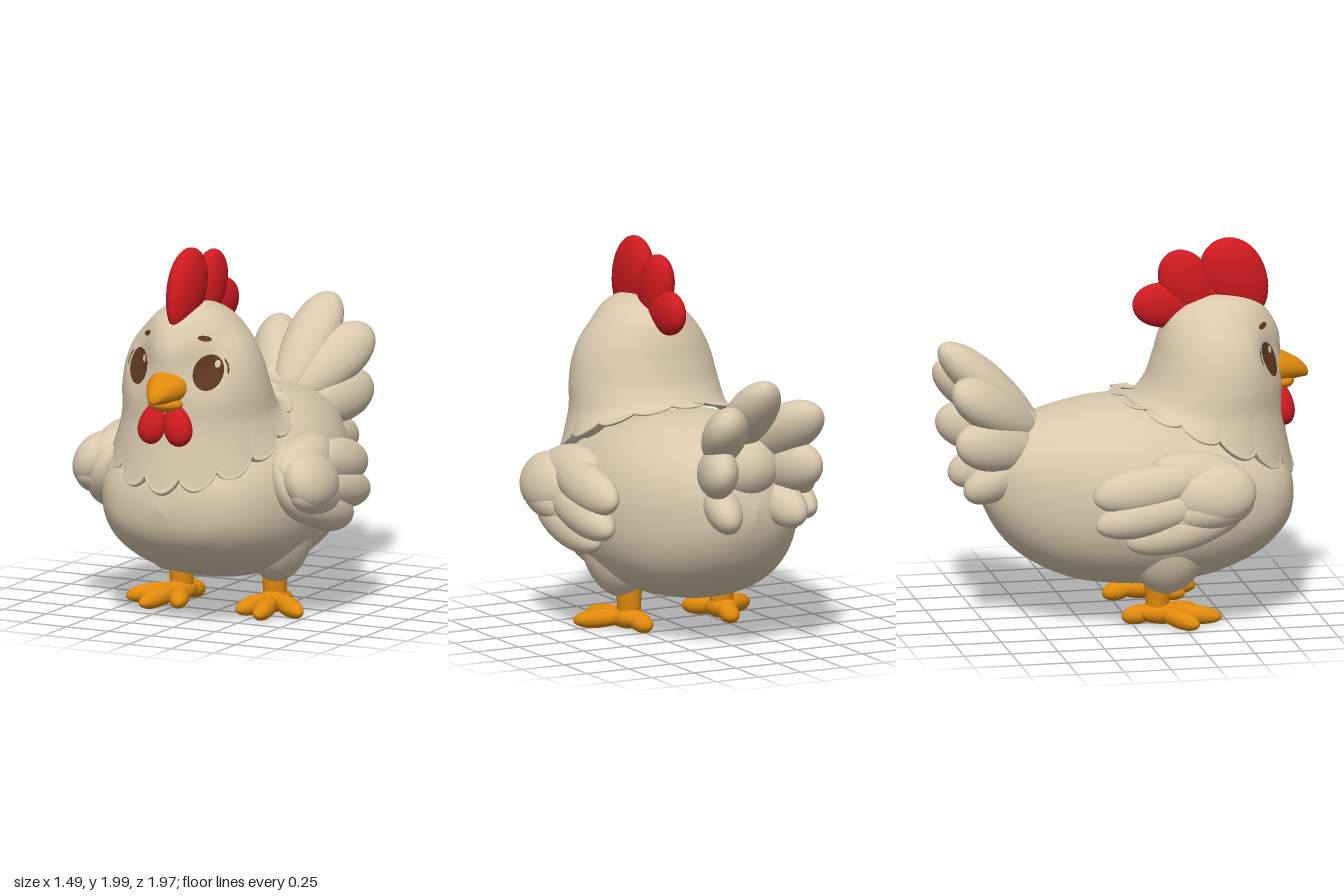
import * as THREE from 'three';
import { mergeVertices } from 'three/addons/utils/BufferGeometryUtils.js';

const material = (name, color) => Object.assign(new THREE.MeshStandardMaterial({ color }), { name });
const V = (x, y, z) => new THREE.Vector3(x, y, z);

// Catmull-Rom through rows of numbers, t from 0 to 1
function sample(rows, t) {
  const n = rows.length - 1, f = Math.min(t, 1) * n, i = Math.min(Math.floor(f), n - 1), u = f - i;
  const row = (k) => rows[Math.max(0, Math.min(n, k))];
  return rows[0].map((_, c) => {
    const [p, a, b, q] = [row(i - 1)[c], row(i)[c], row(i + 1)[c], row(i + 2)[c]];
    return a + 0.5 * u * (b - p + u * (2 * p - 5 * a + 4 * b - q + u * (3 * (a - b) + q - p)));
  });
}

// Closed-ring surface: fn(v, angle) gives a point, rings run along v
function loft(nv, nu, fn) {
  const pos = [], idx = [];
  for (let j = 0; j <= nv; j++)
    for (let i = 0; i < nu; i++) pos.push(...fn(j / nv, (i / nu) * Math.PI * 2));
  for (let j = 0; j < nv; j++)
    for (let i = 0; i < nu; i++) {
      const a = j * nu + i, b = j * nu + ((i + 1) % nu);
      idx.push(a, a + nu, b, b, a + nu, b + nu);
    }
  const g = new THREE.BufferGeometry();
  g.setAttribute('position', new THREE.Float32BufferAttribute(pos, 3));
  g.setIndex(idx);
  g.computeVertexNormals();
  return g;
}

// Superellipse rings along z; rows: z, top, bottom, half width
const power = (v, n) => Math.sign(v) * Math.abs(v) ** (2 / n);
const hull = (rows, n) => loft(60, 64, (v, a) => {
  const [z, top, bottom, w] = sample(rows, v);
  return [Math.max(w, 0) * power(Math.sin(a), n), (top + bottom) / 2 + (top - bottom) / 2 * power(Math.cos(a), n), z];
});

// Egg-shaped lobe from a to b; w and t are half width and half thickness, t lies along normal
function lobe(a, b, w, t, normal, taper = 0) {
  let g = new THREE.SphereGeometry(1, 28, 20);
  g.deleteAttribute('uv');
  g.deleteAttribute('normal');
  g = mergeVertices(g, 1e-4);
  const p = g.attributes.position;
  for (let i = 0; i < p.count; i++) {
    const k = 1 + taper * p.getY(i);
    p.setXYZ(i, p.getX(i) * w * k, p.getY(i) * a.distanceTo(b) / 2, p.getZ(i) * t * k);
  }
  const y = b.clone().sub(a).normalize();
  const x = y.clone().cross(normal).normalize();
  const z = x.clone().cross(y);
  g.applyMatrix4(new THREE.Matrix4().makeBasis(x, y, z).setPosition(a.clone().add(b).multiplyScalar(0.5)));
  g.computeVertexNormals();
  return g;
}

// Head and collar rings: y, tilt toward front, half width, centre z, half depth
const HEAD = [
  [1.72, 0, 0, 0.52, 0], [1.705, 0, 0.09, 0.52, 0.11], [1.665, 0, 0.175, 0.515, 0.2],
  [1.6, 0, 0.245, 0.51, 0.27], [1.5, 0, 0.325, 0.515, 0.318], [1.39, 0, 0.372, 0.505, 0.338],
  [1.26, 0, 0.398, 0.483, 0.362], [1.13, -0.05, 0.412, 0.445, 0.402], [1.02, -0.2, 0.45, 0.43, 0.465],
];
const socket = (x, y) => 0.065 * Math.exp(-(((Math.abs(x) - 0.2) / 0.11) ** 2) - ((y - 1.45) / 0.15) ** 2);
function headPoint(t, a) {
  const [y, tilt, rx, zc, rz] = sample(HEAD, t);
  const c = Math.cos(a), x = Math.max(rx, 0) * Math.sin(a), py = y + tilt * c;
  return [x, py, zc + Math.max(rz, 0) * c - (c > 0 ? socket(x, py) * Math.min(1, 3 * c) : 0)];
}
function faceZ(x, y) {
  let lo = 0, hi = 0.8;
  for (let i = 0; i < 30; i++) {
    const mid = (lo + hi) / 2;
    if (sample(HEAD, mid)[0] > y) lo = mid; else hi = mid;
  }
  const [, , rx, zc, rz] = sample(HEAD, lo);
  const c = Math.sqrt(Math.max(0, 1 - (x / rx) ** 2));
  return zc + rz * c - socket(x, y) * Math.min(1, 3 * c);
}

// Thin oval following the face
function decal(cx, cy, rx, ry, turn, lift) {
  const g = new THREE.RingGeometry(0.001, 1, 32, 5), p = g.attributes.position;
  for (let i = 0; i < p.count; i++) {
    const u = p.getX(i) * rx, v = p.getY(i) * ry;
    const x = cx + u * Math.cos(turn) - v * Math.sin(turn), y = cy + u * Math.sin(turn) + v * Math.cos(turn);
    p.setXYZ(i, x, y, faceZ(x, y) + lift);
  }
  g.computeVertexNormals();
  return g;
}

export function createModel() {
  const root = new THREE.Group();
  root.name = 'hen';
  const cream = material('cream feathers', 0xd9c8ad), red = material('comb red', 0xd01b20);
  const orange = material('beak orange', 0xe08a0c), brown = material('eye brown', 0x5e3822);
  const add = (name, geometry, mat) => {
    const m = new THREE.Mesh(geometry, mat);
    m.name = name;
    root.add(m);
  };

  // Body
  add('body', hull([
    [-0.77, 0.78, 0.74, 0], [-0.73, 0.92, 0.6, 0.17], [-0.64, 1.04, 0.45, 0.29], [-0.5, 1.1, 0.33, 0.385],
    [-0.3, 1.15, 0.24, 0.485], [-0.1, 1.18, 0.205, 0.54], [0.12, 1.17, 0.195, 0.56], [0.4, 1.1, 0.225, 0.545],
    [0.65, 1.01, 0.315, 0.47], [0.8, 0.91, 0.43, 0.36], [0.87, 0.8, 0.53, 0.21], [0.9, 0.67, 0.65, 0],
  ], 2.25), cream);

  // Head flowing into a scalloped collar with a rolled lip
  add('headAndCollar', loft(110, 196, (v, a) => {
    const t = Math.min(v / 0.85, 1), lip = Math.max(0, (v - 0.85) / 0.15);
    const [x, y, z] = headPoint(t, a);
    const flare = Math.max(0, (t - 0.84) / 0.16) ** 1.5 * (Math.abs(Math.cos(7 * a)) ** 0.7 - 0.35);
    const front = 0.5 + 0.5 * Math.cos(a);
    const s = 1 + flare * 0.1 * (1 - 0.7 * front) + 0.035 * Math.sin(lip * Math.PI) - 0.2 * lip * lip;
    const drop = flare * (0.01 + 0.065 * front) + (0.02 + 0.02 * front) * Math.sin(lip * Math.PI / 2);
    return [x * s, y - drop, 0.43 + (z - 0.43) * s];
  }), cream);

  // Comb
  const side = V(1, 0, 0);
  add('combBase', lobe(V(0, 1.66, 0.74), V(0, 1.66, 0.2), 0.17, 0.05, side), red);
  add('combFront', lobe(V(0, 1.59, 0.72), V(0, 1.985, 0.49), 0.165, 0.08, side, 0.12), red);
  add('combMiddle', lobe(V(0, 1.58, 0.44), V(0, 1.94, 0.255), 0.135, 0.075, side, 0.1), red);
  add('combBack', lobe(V(0, 1.64, 0.42), V(0, 1.675, 0.055), 0.12, 0.068, side, 0.1), red);

  // Beak
  add('upperBeak', hull([
    [0.76, 1.4, 1.21, 0.115], [0.82, 1.395, 1.215, 0.113], [0.88, 1.37, 1.225, 0.09],
    [0.94, 1.335, 1.235, 0.058], [0.98, 1.295, 1.24, 0.028], [0.993, 1.262, 1.255, 0],
  ], 2), orange);
  add('lowerBeak', lobe(V(0, 1.225, 0.74), V(0, 1.225, 0.915), 0.1, 0.045, V(0, 1, 0)), orange);

  for (const s of [-1, 1]) {
    const tag = s > 0 ? 'left' : 'right';
    const part = (name, a, b, w, t, n, mat, taper) =>
      add(tag + name, lobe(V(s * a[0], a[1], a[2]), V(s * b[0], b[1], b[2]), w, t, V(s * n[0], n[1], n[2]), taper), mat);

    // Face details
    add(tag + 'Eye', decal(s * 0.205, 1.39, 0.07, 0.092, 0, 0.006), brown);
    add(tag + 'EyeGlint', decal(s * 0.205 + 0.036, 1.435, 0.014, 0.02, 0, 0.009), cream);
    add(tag + 'Brow', decal(s * 0.168, 1.563, 0.03, 0.013, -s * 0.3, 0.005), brown);
    for (const [x, y, turn] of [[0.28, 1.44, -1], [0.292, 1.405, -1.4]])
      add(tag + 'Lash', decal(s * x, y, 0.024, 0.004, s * turn, 0.005), brown);

    // Wattle
    part('Wattle', [0.04, 1.23, 0.82], [0.1, 1.005, 0.852], 0.077, 0.062, [0, 0, 1], red, 0.2);

    // Wing: long feathers beneath, rounded coverts above
    const out = [1, 0.3, 0];
    part('WingBase', [0.54, 0.78, 0.57], [0.52, 0.72, -0.12], 0.24, 0.14, [1, 0.45, 0], cream, -0.1);
    part('WingFeather', [0.6, 0.87, 0.3], [0.58, 0.78, -0.275], 0.12, 0.095, out, cream, 0.08);
    part('WingFeather', [0.61, 0.75, 0.35], [0.6, 0.63, -0.265], 0.11, 0.1, out, cream, 0.08);
    part('WingFeather', [0.61, 0.67, 0.49], [0.585, 0.53, -0.1], 0.115, 0.1, out, cream, 0.05);
    part('WingCovert', [0.55, 0.83, 0.55], [0.52, 0.91, 0.04], 0.13, 0.115, [1, 0.8, 0], cream);
    part('WingCovert', [0.62, 0.8, 0.585], [0.61, 0.77, 0.14], 0.16, 0.12, [1, 0.45, 0], cream, -0.12);
    part('WingCovert', [0.63, 0.74, 0.57], [0.63, 0.67, 0.14], 0.105, 0.1, [1, 0.1, 0], cream, -0.05);

    // Tail fan sides
    part('TailFeather', [0.06, 1.02, -0.47], [0.27, 1.33, -0.95], 0.135, 0.11, [0.7, 0.7, 0.3], cream, 0.2);
    part('TailFeather', [0.13, 0.95, -0.47], [0.28, 1.04, -0.94], 0.135, 0.1, [1, 0.1, 0.3], cream, 0.15);
    part('TailFeather', [0.13, 0.88, -0.5], [0.21, 0.74, -0.885], 0.11, 0.095, [1, -0.4, 0.2], cream, 0.12);

    // Thigh, leg and toes
    part('Thigh', [0.34, 0.72, 0.19], [0.3, 0.185, 0.16], 0.22, 0.18, [1, 0, 0], cream, -0.08);
    const leg = new THREE.CylinderGeometry(0.068, 0.058, 0.17, 24);
    leg.translate(s * 0.275, 0.145, 0.13);
    add(tag + 'Leg', leg, orange);
    part('Foot', [0.27, 0.08, 0.02], [0.29, 0.07, 0.28], 0.08, 0.06, [0, 1, 0], orange);
    for (const [x, z] of [[0.175, 0.37], [0.345, 0.46], [0.515, 0.3], [0.25, -0.055]])
      part('Toe', [0.275, 0.085, 0.13], [x, 0.05, z], 0.053, 0.05, [0, 1, 0], orange, 0.1);
  }

  // Top tail feather
  add('topTailFeather', lobe(V(0.02, 1.03, -0.45), V(0.04, 1.49, -0.965), 0.14, 0.11, V(0, 1, 0.6), 0.15), cream);
  add('tailCore', lobe(V(0, 1.0, -0.42), V(0, 1.0, -0.8), 0.19, 0.18, V(0, 1, 0)), cream);
  return root;
}
